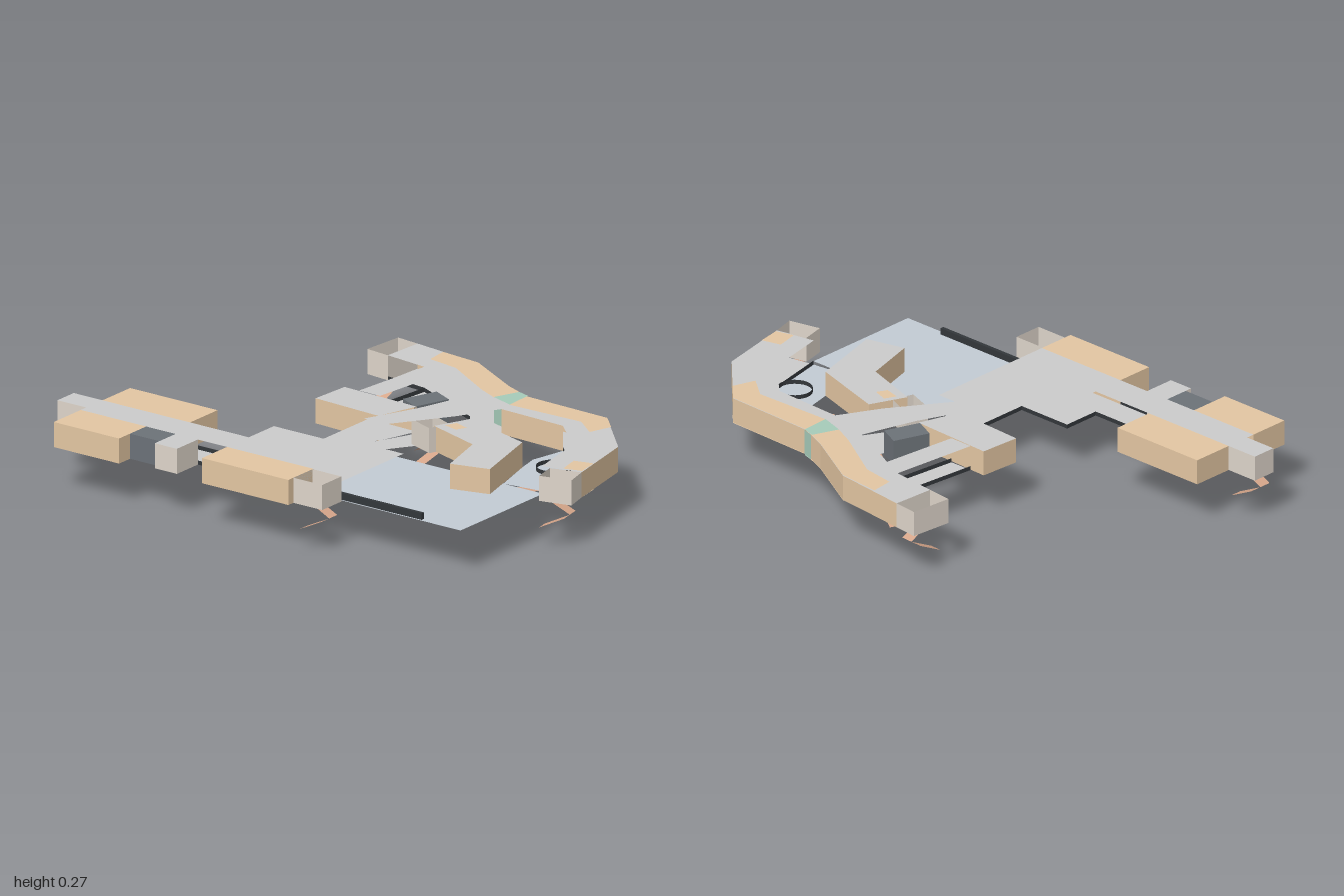
import * as THREE from 'three';

const FLOOR = 0.171, ROOF = 0.267;
const GREY = 0xcccccc, TAN = 0xe3c6a2, CREAM = 0xded5ca, COPPER = 0xd6a68a;
const BLUE = 0xc2cbd4, DARK = 0x6c7278, BLACK = 0x33373b, TEAL = 0xa6cbb9;

export function createModel() {
  const model = new THREE.Group();

  const add = (name, geometry, color, parent = model) => {
    const material = new THREE.MeshStandardMaterial({ color, side: THREE.DoubleSide, flatShading: true });
    const mesh = new THREE.Mesh(geometry, material);
    mesh.name = name;
    parent.add(mesh);
    return mesh;
  };

  // horizontal sheet from an [x, z] outline
  const sheet = (name, pts, y, color, parent) => {
    const shape = new THREE.Shape(pts.map(([x, z]) => new THREE.Vector2(x, -z)));
    return add(name, new THREE.ShapeGeometry(shape).rotateX(-Math.PI / 2).translate(0, y, 0), color, parent);
  };

  // upright strip following an [x, z] path
  const wall = (name, pts, color, parent, y0 = FLOOR, y1 = ROOF) => {
    const pos = [];
    for (let i = 0; i + 1 < pts.length; i++) {
      const [ax, az] = pts[i], [bx, bz] = pts[i + 1];
      pos.push(ax, y0, az, bx, y0, bz, bx, y1, bz, ax, y0, az, bx, y1, bz, ax, y1, az);
    }
    const g = new THREE.BufferGeometry();
    g.setAttribute('position', new THREE.Float32BufferAttribute(pos, 3));
    g.computeVertexNormals();
    return add(name, g, color, parent);
  };

  // floor and roof sheets, with an optional wall path
  const room = (name, pts, color, wallPath, wallColor = color, lift = 0) => {
    const g = new THREE.Group();
    g.name = name;
    sheet('floor', pts, FLOOR - lift, color, g);
    sheet('roof', pts, ROOF + lift, color, g);
    if (wallPath) wall('walls', wallPath, wallColor, g);
    model.add(g);
  };
  const rect = (x0, x1, z0, z1) => [[x0, z0], [x1, z0], [x1, z1], [x0, z1]];
  const loop = (p) => [...p, p[0]];
  const sill = (pts) => wall('windowSill', pts, BLACK, model, FLOOR, FLOOR + 0.016);

  // sloping flight given its start, direction, length, width and heights
  const flight = (name, x, z, angle, length, width, y0, y1) => {
    const g = new THREE.PlaneGeometry(length, width).rotateX(-Math.PI / 2).translate(length / 2, 0, 0);
    const p = g.attributes.position;
    for (let i = 0; i < p.count; i++) p.setY(i, THREE.MathUtils.lerp(y0, y1, p.getX(i) / length));
    g.rotateY(-angle).translate(x, 0, z);
    return add(name, g, COPPER);
  };
  // two flights side by side, doubling back below a stairwell
  const foldedStair = (x, z, angle, side = 1) => {
    const w = 0.048, l = 0.1, dx = -Math.sin(angle) * w / 2 * side, dz = Math.cos(angle) * w / 2 * side;
    flight('upperFlight', x + dx, z + dz, angle, l, w, FLOOR, 0.121);
    flight('lowerFlight', x - dx, z - dz, angle, l, w, 0.072, 0.121);
  };

  // west wing
  room('westCorridor', rect(-0.87, -0.21, 0.44, 0.57), GREY);
  room('westBackRoom', rect(-0.87, -0.475, 0.275, 0.44), TAN, loop(rect(-0.87, -0.475, 0.275, 0.44)));
  room('westFrontRoom', rect(-0.87, -0.575, 0.57, 0.732), TAN, loop(rect(-0.87, -0.575, 0.57, 0.732)));
  room('westEndLobby', rect(-1, -0.87, 0.44, 0.537), GREY, loop(rect(-1, -0.87, 0.44, 0.537)), CREAM);
  room('darkRoomWest', rect(-0.575, -0.442, 0.57, 0.667), DARK, loop(rect(-0.575, -0.442, 0.57, 0.667)));
  room('westPorch', rect(-0.442, -0.342, 0.57, 0.695), GREY, loop(rect(-0.442, -0.342, 0.57, 0.695)), CREAM);
  sill([[-0.342, 0.57], [-0.21, 0.57]]);
  sill([[-0.475, 0.44], [-0.21, 0.44], [-0.21, 0.29], [0.015, 0.29], [0.015, 0.03]]);

  // main hall, its front room and the passage to the back
  room('mainHall', [[-0.21, 0.29], [0.015, 0.29], [0.015, 0.03], [0.18, 0.03], [0.18, 0.57], [-0.21, 0.57]], GREY);
  const front = rect(-0.21, 0.18, 0.57, 0.72);
  room('frontRoom', front, TAN, loop(front));
  wall('frontStairwell', loop(rect(0.18, 0.31, 0.575, 0.69)), CREAM);
  room('diagonalPassage', [[0.155, -0.4], [0.335, -0.35], [0.25, -0.19], [0.1, 0.03], [0, 0.03], [0.09, -0.18]], GREY);

  // open terrace with its low barrier
  sheet('terrace', rect(0.18, 0.84, 0.07, 0.565), FLOOR, BLUE);
  const barrier = new THREE.BoxGeometry(0.39, 0.025, 0.014).translate(0.465, FLOOR + 0.013, 0.553);
  add('terraceBarrier', barrier, BLACK);

  // curved gallery along the back
  const outer = [[-0.33, -0.73], [-0.03, -0.695], [0.21, -0.56], [0.33, -0.51], [0.7, -0.5], [0.915, -0.28], [0.975, 0.02]];
  const inner = [[0.82, 0.05], [0.77, -0.2], [0.62, -0.34], [0.335, -0.35], [0.155, -0.4], [-0.16, -0.545], [-0.34, -0.565]];
  room('gallery', [...outer, ...inner], GREY);
  wall('galleryOuterWall', outer, TAN);
  wall('galleryInnerWall', [[0.335, -0.35], [0.62, -0.34]], TAN);
  sill(inner.slice(0, 3));
  sill(inner.slice(4));
  room('galleryWestRooms', [[-0.2, -0.71], [-0.03, -0.695], [0.21, -0.56], [0.29, -0.527], [0.24, -0.43], [0.155, -0.47],
    [-0.06, -0.6], [-0.19, -0.62]], TAN, null, TAN, 0.002);
  room('galleryEastRooms', [[0.33, -0.51], [0.7, -0.5], [0.77, -0.43], [0.74, -0.34], [0.65, -0.41], [0.33, -0.4]], TAN, null, TAN, 0.002);
  room('galleryEndRoom', [[0.88, -0.06], [0.955, -0.08], [0.97, 0.01], [0.9, 0.03]], TAN, null, TAN, 0.002);
  const teal = [[0.28, -0.53], [0.33, -0.515], [0.335, -0.4], [0.24, -0.43]];
  room('tealRoom', teal, TEAL, loop(teal), TEAL, 0.003);

  // open stairwells at the two gallery ends
  wall('galleryWestStairwell', loop([[-0.425, -0.74], [-0.33, -0.73], [-0.34, -0.565], [-0.44, -0.575]]), CREAM);
  wall('galleryEastStairwell', loop([[0.855, 0.05], [0.975, 0.02], [0.998, 0.11], [0.875, 0.14]]), CREAM);

  // small wing behind the main hall
  room('linkCorridor', [[-0.16, -0.545], [-0.065, -0.52], [-0.1, -0.2], [-0.195, -0.2]], GREY);
  sill([[-0.16, -0.545], [-0.195, -0.2]]);
  sill([[-0.065, -0.52], [-0.1, -0.2]]);
  const back = [[-0.26, -0.2], [0.075, -0.187], [0.025, -0.025], [-0.27, -0.04]];
  room('smallWing', back, GREY, [back[1], back[0], back[3], back[2]], TAN);
  const dark = [[0.035, -0.36], [0.12, -0.32], [0.07, -0.185], [-0.015, -0.225]];
  room('darkRoomBack', dark, DARK, loop(dark));

  // bent inner room beside the terrace
  const bent = [[0.31, -0.2], [0.61, -0.11], [0.69, 0.19], [0.54, 0.23], [0.48, 0.015], [0.25, -0.06]];
  room('bentRoom', bent, GREY, loop(bent), TAN);
  const nook = [[0.3, -0.13], [0.36, -0.11], [0.34, -0.07], [0.28, -0.085]];
  room('bentRoomCloset', nook, TAN, null, TAN, 0.002);
  wall('centreStairwell', loop([[0.17, -0.155], [0.28, -0.11], [0.25, -0.03], [0.14, -0.07]]), CREAM);

  // round court with its kerb
  sheet('court', [[0.62, -0.34], [0.77, -0.2], [0.82, 0.05], [0.66, 0.07], [0.61, -0.11], [0.59, -0.2]], FLOOR, BLUE);
  add('courtKerb', new THREE.CylinderGeometry(0.065, 0.065, 0.016, 24, 1, true).translate(0.715, FLOOR + 0.008, -0.16), BLACK);

  // stairs below the deck
  foldedStair(0.2, 0.635, 0, -1);
  foldedStair(-0.88, 0.49, Math.PI, -1);
  foldedStair(-0.385, -0.605, -Math.PI / 2 + 0.06, 1);
  foldedStair(0.87, 0.1, -0.2, -1);
  foldedStair(0.225, -0.1, 1.93, -1);
  flight('longRamp', 0.16, -0.355, Math.PI + 0.36, 0.26, 0.09, FLOOR, 0);
  flight('courtUpperFlight', 0.805, -0.01, Math.PI - 0.16, 0.16, 0.11, FLOOR, 0.121);
  flight('courtLowerFlight', 0.605, -0.215, 3.64, 0.08, 0.21, 0.121, 0.072);

  return model;
}
